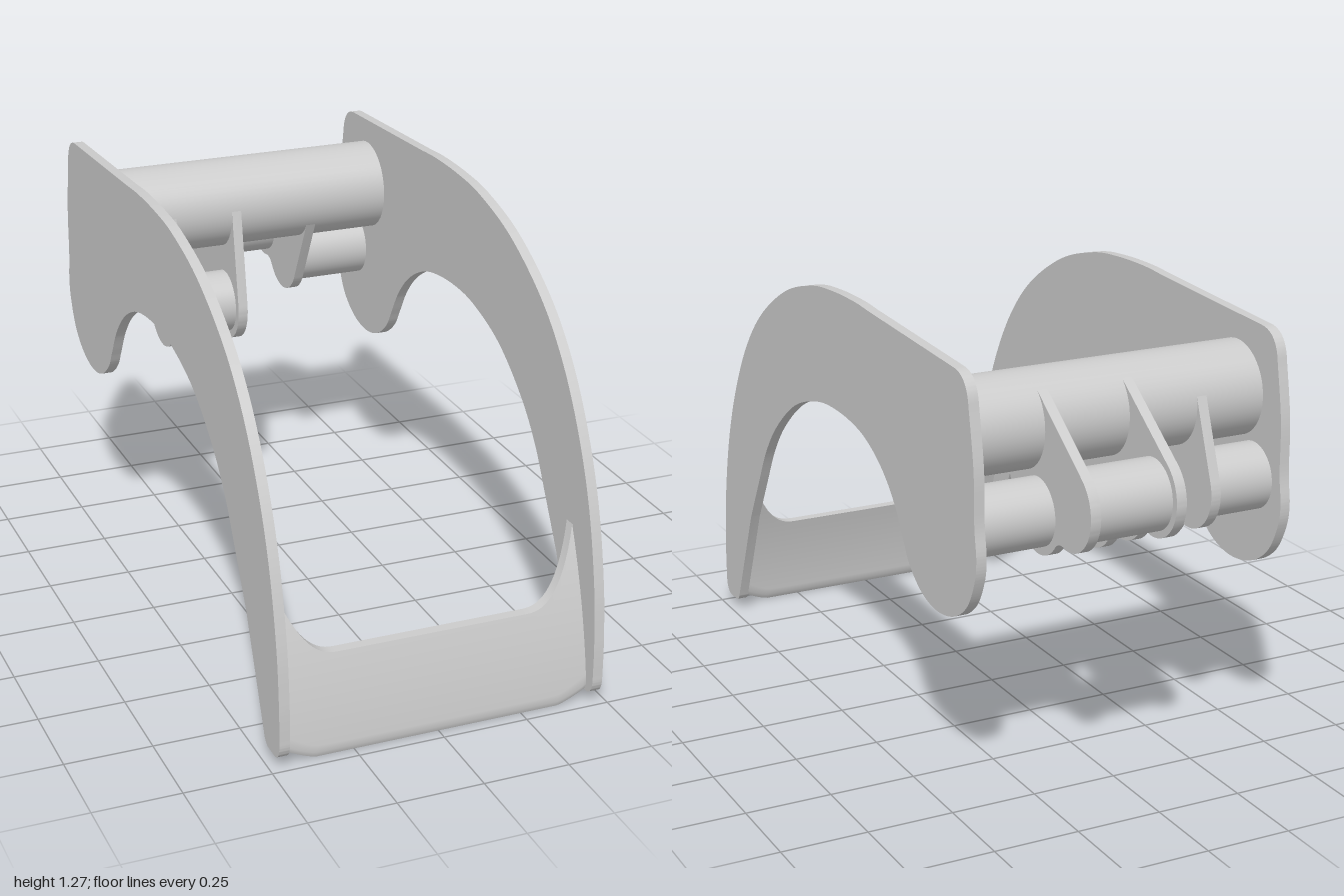
import * as THREE from 'three';
import { toCreasedNormals } from 'three/addons/utils/BufferGeometryUtils.js';

const material = new THREE.MeshStandardMaterial({ color: 0xcccccc });

// Disc centres of the linkage, in the side plane (a = -z, y)
const TUBE = [0.615, 1.04, 0.135];
const FRONT = [0.55, 0.735, 0.12];
const MIDDLE = [0.715, 0.81, 0.12];
const BACK = [0.88, 0.87, 0.12];
const FILLET = 0.05;

function addMesh(group, name, geometry) {
  const mesh = new THREE.Mesh(geometry, material);
  mesh.name = name;
  group.add(mesh);
  return mesh;
}

// Plate drawn in the side plane and extruded from x0 to x1
function plate(shape, x0, x1) {
  const geo = new THREE.ExtrudeGeometry(shape, { depth: x1 - x0, bevelEnabled: false, curveSegments: 20 });
  geo.rotateY(Math.PI / 2).translate(x0, 0, 0);
  return toCreasedNormals(geo, 0.5);
}

// Round bar along x
function bar([a, y], radius, x0, x1) {
  return new THREE.CylinderGeometry(radius, radius, x1 - x0, 48)
    .rotateZ(Math.PI / 2)
    .translate((x0 + x1) / 2, y, -a);
}

// Concave disc (negative radius) nestled below two neighbouring discs
function fillet(p, q) {
  const dx = q[0] - p[0], dy = q[1] - p[1], d = Math.hypot(dx, dy);
  const h = Math.sqrt((p[2] + FILLET) ** 2 - (d / 2) ** 2);
  return [(p[0] + q[0]) / 2 + (h * dy) / d, (p[1] + q[1]) / 2 - (h * dx) / d, -FILLET];
}

// Outline wrapped counter-clockwise around a ring of discs
function beltShape(discs) {
  const n = discs.length;
  const normals = discs.map((p, i) => {
    const q = discs[(i + 1) % n];
    const dx = q[0] - p[0], dy = q[1] - p[1];
    const c = THREE.MathUtils.clamp((p[2] - q[2]) / Math.hypot(dx, dy), -1, 1);
    return Math.atan2(dy, dx) - Math.acos(c);
  });
  const shape = new THREE.Shape();
  discs.forEach(([x, y, r], i) => {
    const turn = r < 0 ? Math.PI : 0;
    shape.absarc(x, y, Math.abs(r), normals[(i + n - 1) % n] + turn, normals[i] + turn, r < 0);
  });
  return shape;
}

// Curved arm: arched beam widening into a rounded lobe at the back
function armShape() {
  const spline = (pts) => pts.map(([z, y]) => new THREE.Vector2(-z, y));
  const s = new THREE.Shape();
  s.moveTo(-0.92, 0.03);
  s.quadraticCurveTo(-0.895, 0.03, -0.885, 0.06);
  s.lineTo(-0.757, 0.364);
  s.splineThru(spline([[0.68, 0.5], [0.6, 0.635], [0.5, 0.745], [0.35, 0.85], [0.18, 0.907],
    [0.04, 0.92], [-0.1, 0.908], [-0.2, 0.877], [-0.29, 0.822], [-0.36, 0.75], [-0.41, 0.67],
    [-0.45, 0.61], [-0.525, 0.557], [-0.62, 0.537], [-0.72, 0.556], [-0.8, 0.61],
    [-0.845, 0.69], [-0.857, 0.76], [-0.846, 0.85], [-0.842, 1.0], [-0.815, 1.16]]));
  s.quadraticCurveTo(0.805, 1.24, 0.73, 1.243);
  s.lineTo(0.2, 1.267);
  s.splineThru(spline([[-0.1, 1.272], [0.05, 1.268], [0.2, 1.25], [0.4, 1.19], [0.6, 1.075],
    [0.74, 0.94], [0.85, 0.77], [0.93, 0.58], [0.98, 0.37], [0.998, 0.2], [1.0, 0.08]]));
  s.quadraticCurveTo(-1.0, 0.04, -0.97, 0.03);
  s.closePath();
  return s;
}

// Curved cross blade: raised corners on top, trimmed corners and thin edge below
function bladeGeometry() {
  const geo = new THREE.BoxGeometry(0.9, 1, 1, 80, 16, 1);
  const pos = geo.attributes.position;
  for (let i = 0; i < pos.count; i++) {
    const x = Math.abs(pos.getX(i));
    const v = pos.getY(i) + 0.5;
    const top = 0.28 + 0.21 * Math.max(0, (x - 0.28) / 0.17) ** 2.4;
    const bottom = 0.035 * Math.max(0, (x - 0.36) / 0.09) ** 1.3;
    // the lowest row is only a narrow lip below the chamfer line
    const y = v < 0.01 ? bottom : bottom + 0.016 + (top - bottom - 0.016) * (v - 0.0625) / 0.9375;
    const thickness = v < 0.01 ? 0.015 : 0.032;
    const middle = 0.955 - 0.104 * y - 0.33 * y * y;
    pos.setXYZ(i, pos.getX(i), y, middle + pos.getZ(i) * thickness);
  }
  geo.computeVertexNormals();
  return geo;
}

export function createModel() {
  const model = new THREE.Group();
  model.name = 'archedCarrier';

  // Side arms
  const arm = armShape();
  addMesh(model, 'leftArm', plate(arm, 0.45, 0.48));
  addMesh(model, 'rightArm', plate(arm, -0.48, -0.45));

  // Front blade
  addMesh(model, 'frontBlade', bladeGeometry());

  // Main tube and short pins
  addMesh(model, 'mainTube', bar(TUBE, 0.136, -0.45, 0.45));
  addMesh(model, 'rightOuterPin', bar(MIDDLE, 0.096, -0.45, -0.27));
  addMesh(model, 'leftOuterPin', bar(MIDDLE, 0.096, 0.225, 0.45));
  addMesh(model, 'frontPin', bar(FRONT, 0.096, -0.24, -0.06));
  addMesh(model, 'backPin', bar(BACK, 0.1, -0.03, 0.195));

  // Link plates carrying the pins
  const low = fillet(FRONT, MIDDLE), high = fillet(MIDDLE, BACK);
  addMesh(model, 'rightLink', plate(beltShape([FRONT, low, MIDDLE, TUBE]), -0.27, -0.24));
  addMesh(model, 'centreLink', plate(beltShape([FRONT, low, MIDDLE, high, BACK, TUBE]), -0.06, -0.03));
  addMesh(model, 'leftLink', plate(beltShape([MIDDLE, high, BACK, TUBE]), 0.195, 0.225));

  return model;
}
